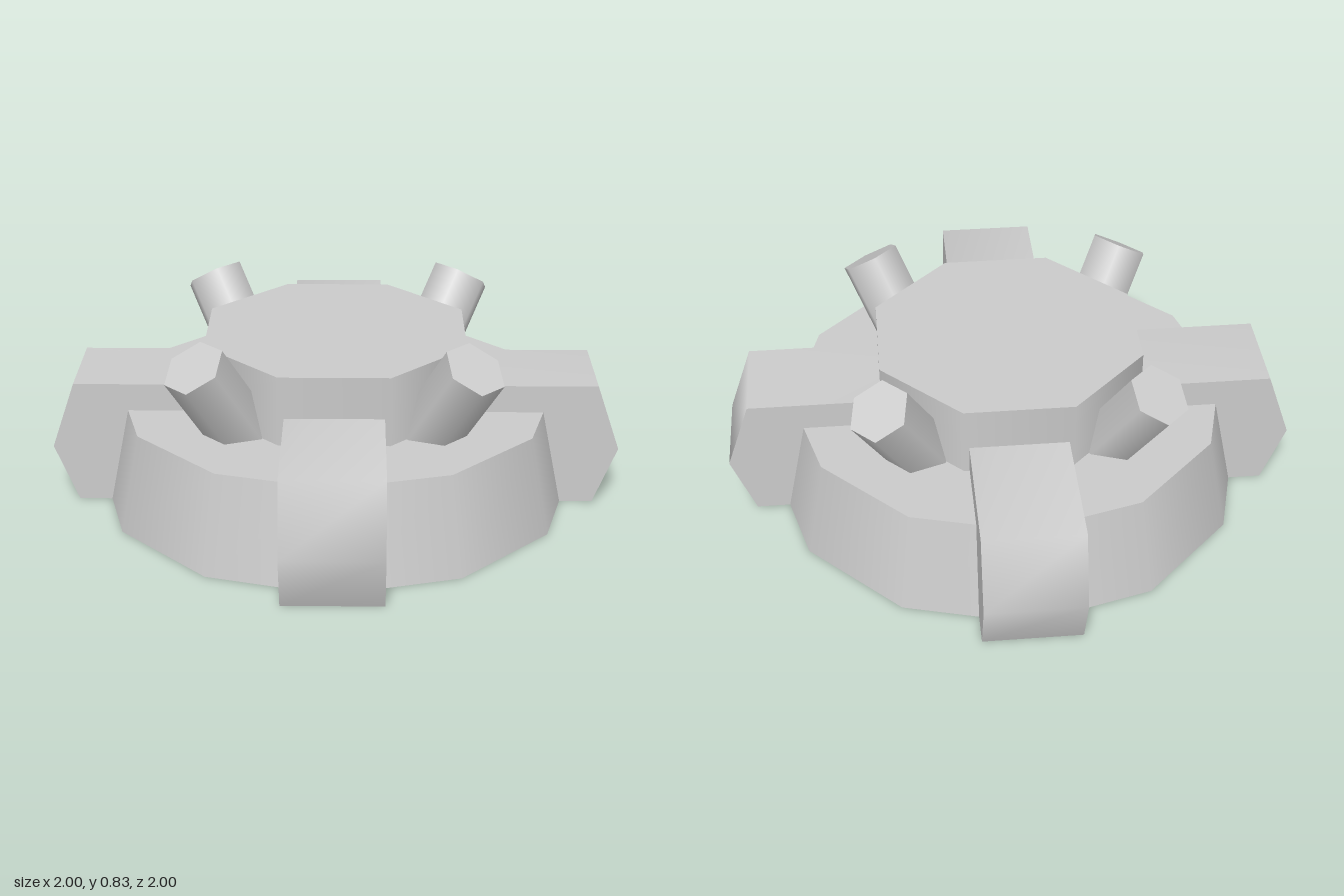
import * as THREE from 'three';

const material = new THREE.MeshStandardMaterial({ color: 0xcccccc, side: THREE.DoubleSide });

function add(parent, name, geometry) {
  const mesh = new THREE.Mesh(geometry, material);
  mesh.name = name;
  parent.add(mesh);
  return mesh;
}

// Faceted drum with a closed top and an open underside; flat sides face the axes
function addDrum(parent, name, topApothem, bottomApothem, height, sides) {
  const drum = new THREE.Group();
  drum.name = name;
  const turn = Math.PI / sides;
  const top = topApothem / Math.cos(turn), bottom = bottomApothem / Math.cos(turn);
  const wall = add(drum, name + 'Wall', new THREE.CylinderGeometry(top, bottom, height, sides, 1, true, turn));
  wall.position.y = height / 2;
  const lid = add(drum, name + 'Top', new THREE.CircleGeometry(top, sides, turn));
  lid.rotation.x = -Math.PI / 2;
  lid.position.y = height;
  parent.add(drum);
}

// Long bar with pointed ends, open underneath
function addBar(parent, angle) {
  const bar = new THREE.Group();
  bar.name = 'crossBar';
  const half = 0.205;
  const profile = [[1.11, 0], [1.21, 0.25], [1.11, 0.54], [-1.11, 0.54], [-1.21, 0.25], [-1.11, 0]];
  const positions = [], index = [];
  profile.forEach(([x, y], i) => {
    positions.push(x, y, half, x, y, -half);
    if (i) {
      const a = 2 * i - 2;
      index.push(a, a + 1, a + 3, a, a + 3, a + 2);
    }
  });
  const band = new THREE.BufferGeometry();
  band.setAttribute('position', new THREE.Float32BufferAttribute(positions, 3));
  band.setIndex(index);
  band.computeVertexNormals();
  add(bar, 'barBand', band);

  const side = new THREE.ShapeGeometry(new THREE.Shape(profile.map(([x, y]) => new THREE.Vector2(x, y))));
  add(bar, 'barSide', side).position.z = half;
  const back = add(bar, 'barSide', side);
  back.rotation.y = Math.PI;
  back.position.z = -half;
  bar.rotation.y = angle;
  parent.add(bar);
}

export function createModel() {
  const model = new THREE.Group();
  model.name = 'disc';

  // Tapered base and raised central hub
  addDrum(model, 'base', 0.905, 0.99, 0.42, 12);
  addDrum(model, 'hub', 0.55, 0.55, 0.72, 8);

  // Crossing diagonal bars
  for (const angle of [Math.PI / 4, -Math.PI / 4]) addBar(model, angle);

  // Four six-sided prongs leaning outwards
  const length = 0.5;
  const tip = new THREE.Vector3(0, 0.765, 0.795);
  const lean = Math.atan2(0.19, 0.13);
  for (let i = 0; i < 4; i++) {
    const arm = new THREE.Group();
    arm.name = 'prong';
    const geometry = new THREE.CylinderGeometry(0.135, 0.135, length, 6, 1, false, Math.PI / 2);
    const prong = add(arm, 'prongShaft', geometry);
    prong.rotation.x = Math.PI / 2 - lean;
    prong.position.set(0, tip.y - Math.sin(lean) * length / 2, tip.z - Math.cos(lean) * length / 2);
    arm.rotation.y = i * Math.PI / 2;
    model.add(arm);
  }
  return model;
}
